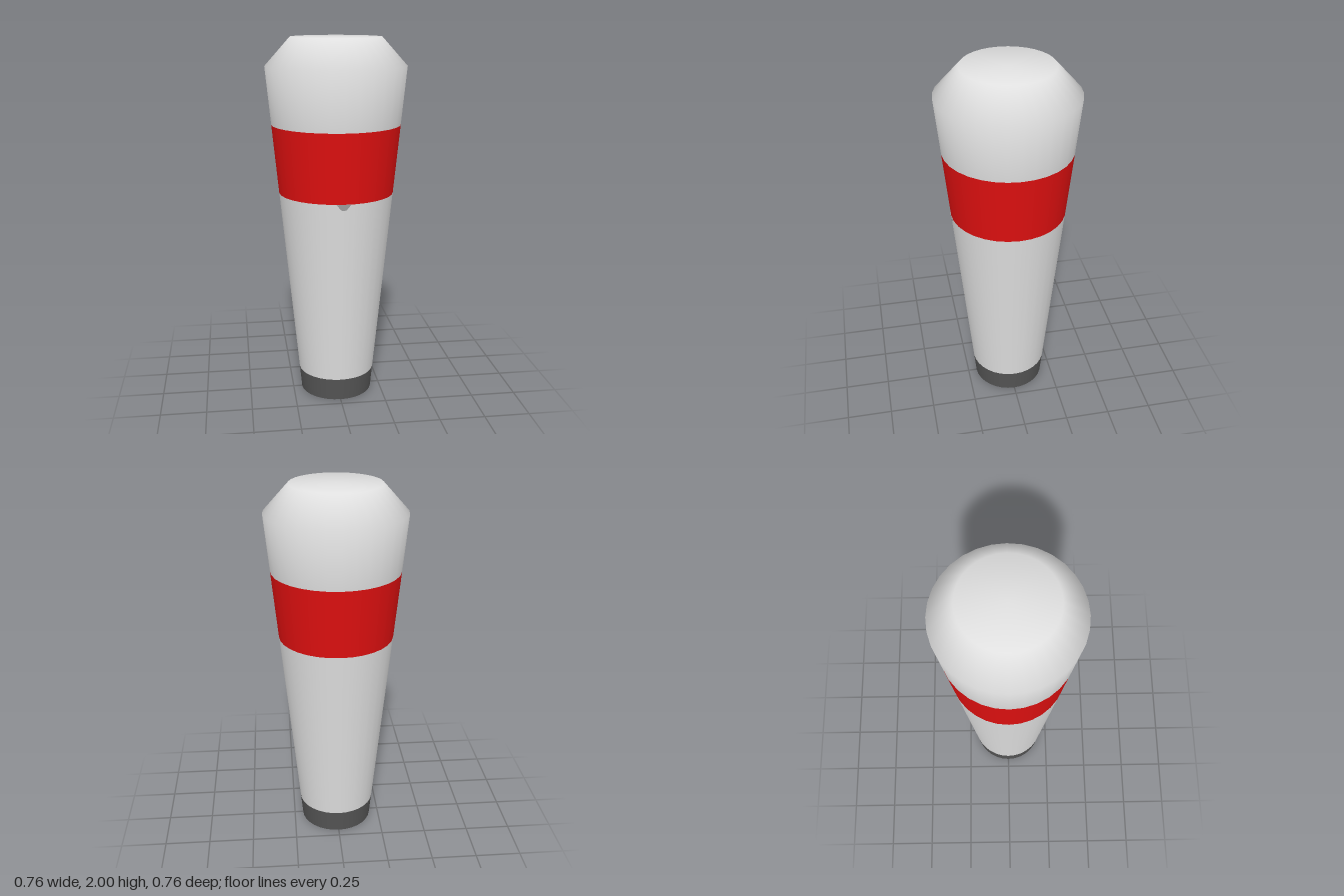
import * as THREE from 'three';

const SIDES = 32;
const mat = (name, color) => {
  const m = new THREE.MeshStandardMaterial({ color });
  m.name = name;
  return m;
};
const wallRadius = (y) => 0.2 + (0.18 * y) / 1.85;

export function createModel() {
  const group = new THREE.Group();
  group.name = 'taperedHandle';
  const ivory = mat('paleGrey', 0xe0e0e0);
  const red = mat('red', 0xe01010);
  const dark = mat('darkGrey', 0x555555);
  const grey = mat('midGrey', 0xa0a0a0);

  const add = (name, geometry, material) => {
    const mesh = new THREE.Mesh(geometry, material);
    mesh.name = name;
    group.add(mesh);
    return mesh;
  };
  const lathe = (name, points, material) =>
    add(name, new THREE.LatheGeometry(points.map(([r, y]) => new THREE.Vector2(r, y)), SIDES), material);
  const wall = (...heights) => heights.map((y) => [wallRadius(y), y]);

  // Bottom ferrule with a flat underside
  lathe('ferrule', wall(0, 0.127), dark);
  lathe('underside', [[0, 0], [0.2, 0]], dark);

  // Tapered shaft, painted band and softly shaded bevelled head
  lathe('shaft', wall(0.127, 1.165), ivory);
  lathe('band', wall(1.165, 1.54), red);
  lathe('head', [...wall(1.54, 1.85), [0.245, 2], [0, 2]], ivory);

  // Small tab showing below the band at the front
  const tab = new THREE.Shape([
    [-0.038, 0], [-0.015, -0.029], [0, -0.034], [0.015, -0.029], [0.038, 0],
  ].map(([x, y]) => new THREE.Vector2(x, y)));
  const tabMesh = add('frontTab', new THREE.ExtrudeGeometry(tab, { depth: 0.005, bevelEnabled: false }), grey);
  tabMesh.position.set(0, 1.165, wallRadius(1.165) - 0.003);
  tabMesh.rotation.x = Math.atan(0.18 / 1.85);

  return group;
}
